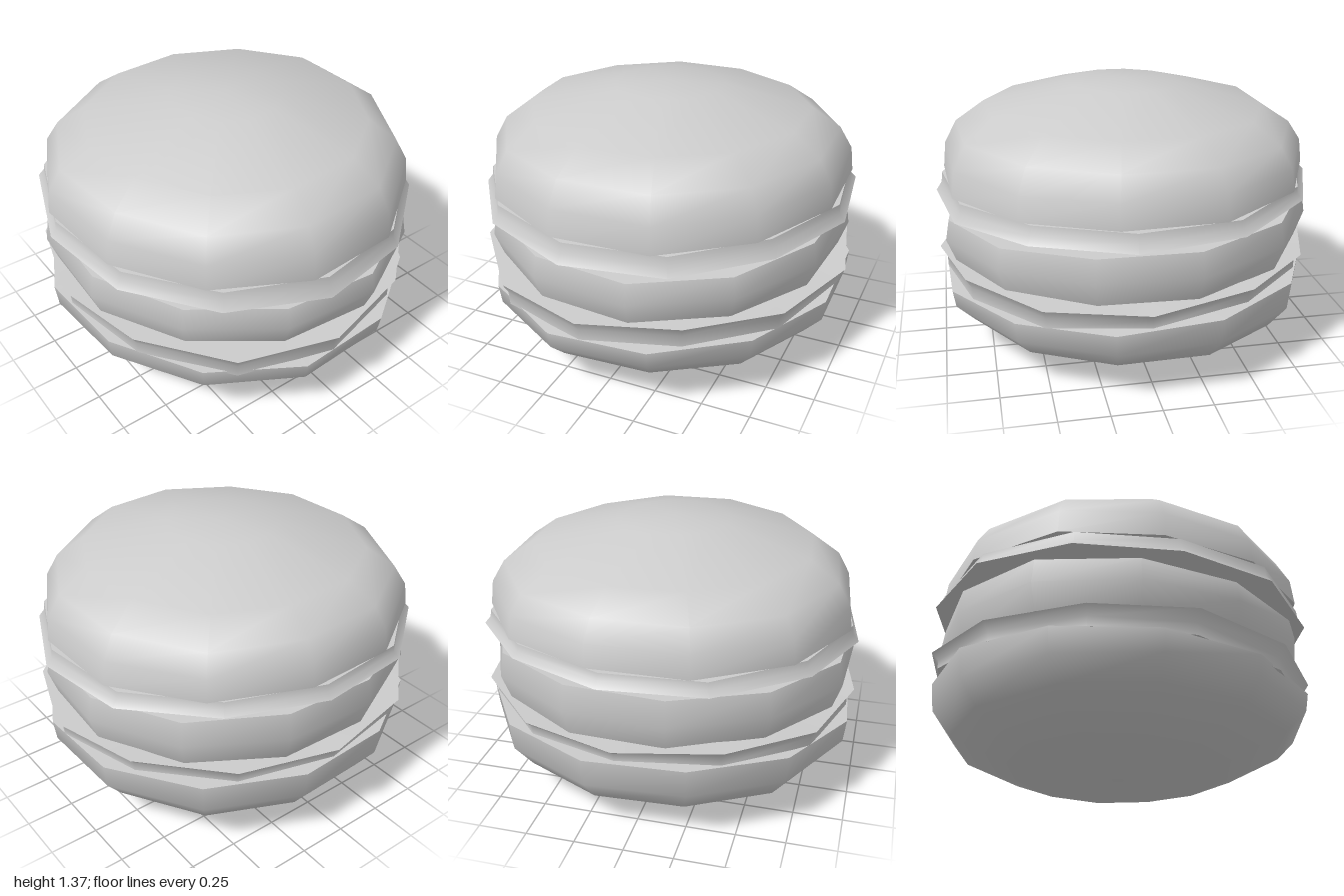
import * as THREE from 'three';
import { mergeVertices, mergeGeometries } from 'three/addons/utils/BufferGeometryUtils.js';

const SIDES = 12;

// Loft through rings [y, radius, slope along x, slope along z], listed bottom to top
function loft(rings, phase, ripple) {
  const pos = [], index = [];
  rings.forEach(([y, r, sx = 0, sz = 0], j) => {
    for (let i = 0; i < SIDES; i++) {
      const a = phase + (i / SIDES) * Math.PI * 2;
      const rr = r * (1 + 0.012 * Math.sin(3 * a + phase * 7) - 0.006);
      const x = Math.cos(a) * rr, z = Math.sin(a) * rr;
      const wave = ripple * r * Math.sin(4 * a + phase * 5 + y * 6);
      pos.push(x, y + sx * x + sz * z + wave, z);
      if (j < rings.length - 1) {
        const p = j * SIDES + i, q = j * SIDES + (i + 1) % SIDES;
        index.push(p, p + SIDES, q, q, p + SIDES, q + SIDES);
      }
    }
  });
  let g = new THREE.BufferGeometry();
  g.setAttribute('position', new THREE.Float32BufferAttribute(pos, 3));
  g.setIndex(index);
  g = mergeVertices(g, 1e-5);
  g.computeVertexNormals();
  return g;
}

// One layer: pieces are smooth within themselves and creased where they meet
function layer(name, phase, ripple, ...pieces) {
  const geometry = mergeGeometries(pieces.map((rings) => loft(rings, phase, ripple)));
  const mesh = new THREE.Mesh(geometry, new THREE.MeshStandardMaterial({ color: 0xcccccc }));
  mesh.name = name;
  return mesh;
}

// Closed slab with flat, tilted caps
function slab(name, phase, ripple, rings) {
  const centre = ([y]) => [y, 0];
  const first = rings[0], last = rings[rings.length - 1];
  return layer(name, phase, ripple, [centre(first), first], rings, [last, centre(last)]);
}

export function createModel() {
  const group = new THREE.Group();
  group.name = 'burger';

  // Bottom bun: shallow bowl with a tilted cut face
  const bottomRim = [0.41, 0.99, -0.045, 0];
  group.add(layer('bottomBun', 0.22, 0.006,
    [[0.005, 0], [0.04, 0.55, -0.01], [0.18, 0.88], [0.29, 0.975, -0.015], bottomRim],
    [bottomRim, [0.41, 0]]));

  // Lower leaf, flaring at its top edge
  group.add(slab('lowerLeaf', 0.05, 0.014, [
    [0.42, 0.965, -0.055, -0.01],
    [0.47, 0.965, -0.045, -0.005],
    [0.515, 1.0, -0.03, 0],
  ]));

  // Patty with a bulging side
  group.add(slab('patty', 0.32, 0.005, [
    [0.525, 0.93, -0.025, 0],
    [0.65, 0.975, -0.03, 0],
    [0.77, 0.955, -0.045, 0],
  ]));

  // Upper leaf, flaring at its bottom edge
  group.add(slab('upperLeaf', 0.12, 0.008, [
    [0.82, 1.0, -0.038, 0],
    [0.855, 0.97, -0.03, 0],
    [0.9, 0.965, -0.022, 0],
  ]));

  // Top bun: rounded dome with a flat underside
  const topRim = [0.905, 0.965, -0.022, 0];
  group.add(layer('topBun', 0.2, 0.006,
    [[0.905, 0], topRim],
    [topRim, [1.03, 0.95, -0.012], [1.14, 0.885], [1.245, 0.735, 0.008], [1.36, 0.29, 0.01], [1.375, 0]]));

  return group;
}
